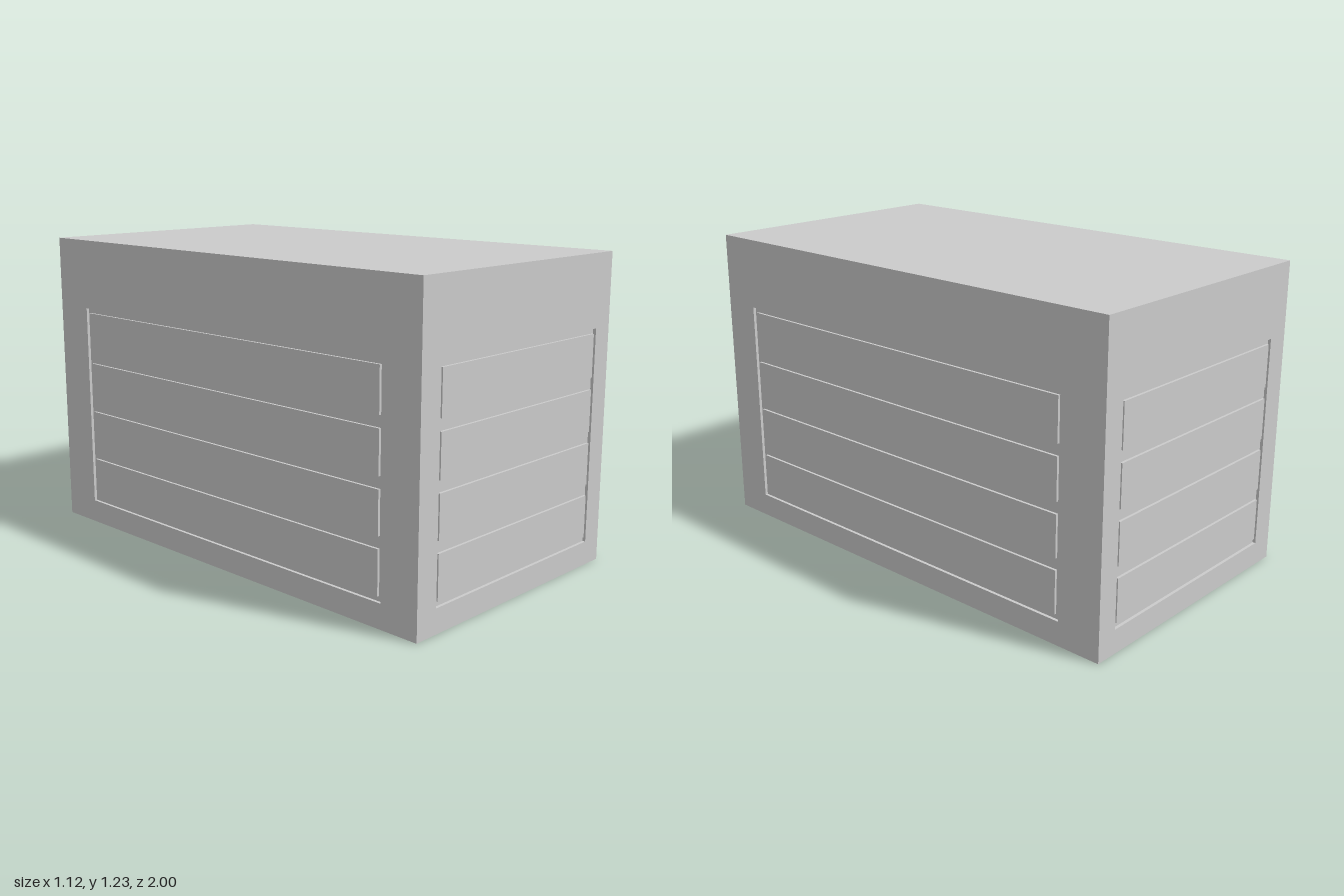
import * as THREE from 'three';

const W = 1.12, H = 1.225, L = 2;   // overall crate size
const D = 0.012;                    // depth of the grooves
const Y0 = 0.095, Y1 = 0.94;        // panel opening, bottom and top
const SLATS = [[0.115, 0.285], [0.33, 0.495], [0.54, 0.705], [0.75, 0.92]];

const material = new THREE.MeshStandardMaterial({ color: 0xcccccc, flatShading: true });

function rect(Type, x0, x1, y0, y1) {
  return new Type([[x0, y0], [x1, y0], [x1, y1], [x0, y1]].map(([x, y]) => new THREE.Vector2(x, y)));
}

function add(parent, name, geometry) {
  const mesh = new THREE.Mesh(geometry, material);
  mesh.name = name;
  parent.add(mesh);
  return mesh;
}

// One wall: a frame with an opening u0..u1, filled with four slats set apart by grooves
function wall(name, width, distance, turn, u0, u1, gap) {
  const group = new THREE.Group();
  group.name = name;
  const shape = rect(THREE.Shape, -width / 2, width / 2, 0, H);
  shape.holes.push(rect(THREE.Path, u0, u1, Y0, Y1));
  const frame = add(group, name + 'Frame', new THREE.ExtrudeGeometry(shape, { depth: D, bevelEnabled: false }));
  frame.position.z = distance - D;

  const depth = D - 0.002;
  for (const [a, b] of SLATS) {
    const slat = add(group, name + 'Slat', new THREE.BoxGeometry(u1 - u0 - 2 * gap, b - a, depth));
    slat.position.set((u0 + u1) / 2, (a + b) / 2, distance - D + depth / 2);
  }
  group.rotation.y = turn;
  return group;
}

export function createModel() {
  const crate = new THREE.Group();
  crate.name = 'crate';

  // Solid core, whose sides are the groove floors
  add(crate, 'core', new THREE.BoxGeometry(W - 2 * D, H, L - 2 * D)).position.y = H / 2;

  // Short end walls, then the long side walls between them
  crate.add(
    wall('frontWall', W, L / 2, 0, -0.46, 0.47, 0.01),
    wall('backWall', W, L / 2, Math.PI, -0.47, 0.46, 0.01),
    wall('leftWall', L - 2 * D, W / 2, Math.PI / 2, -0.84, 0.82, 0.018),
    wall('rightWall', L - 2 * D, W / 2, -Math.PI / 2, -0.82, 0.84, 0.018),
  );
  return crate;
}
